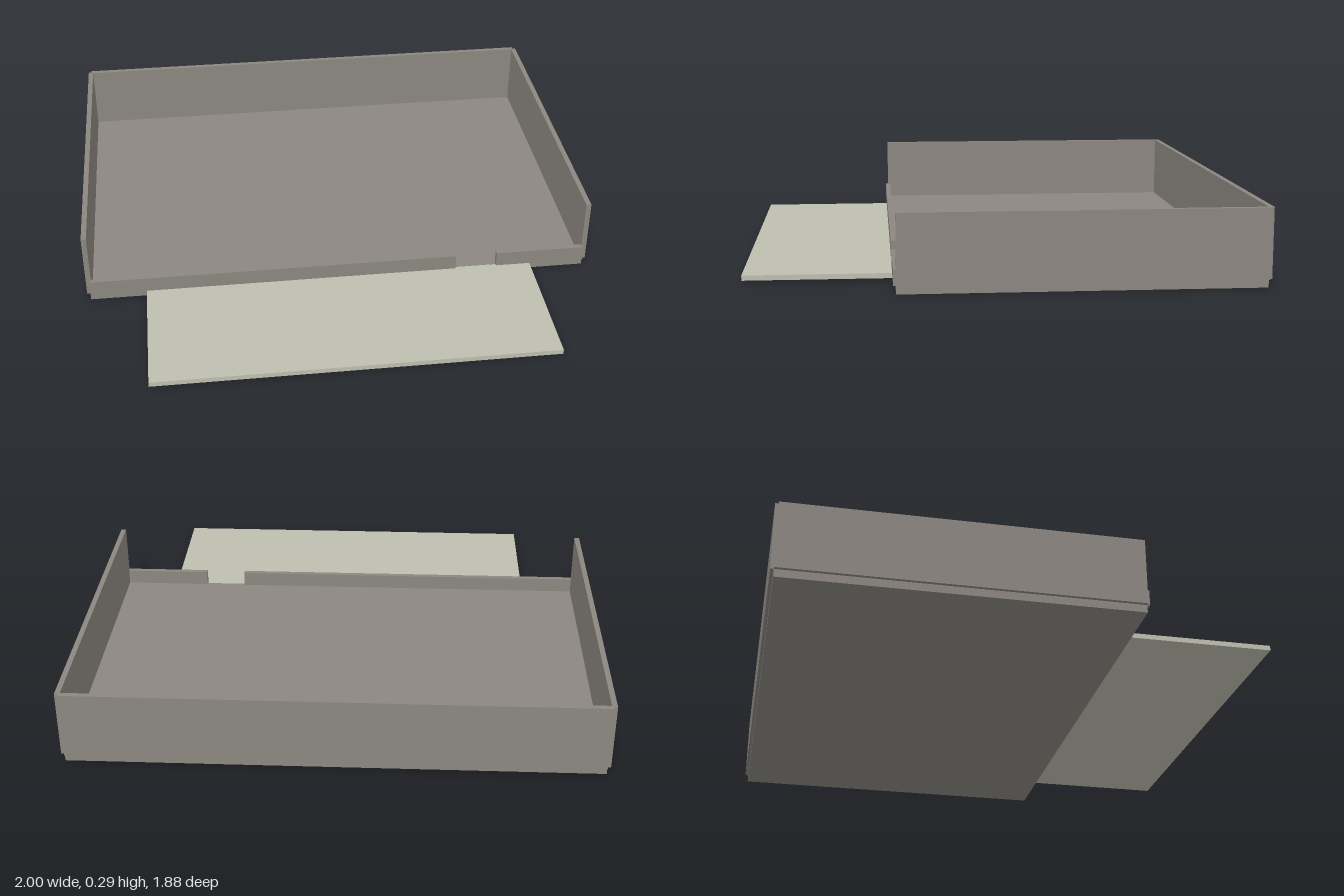
import * as THREE from 'three';

export function createModel() {
  const group = new THREE.Group();
  const concrete = new THREE.MeshStandardMaterial({ color: 0x8c8780 });
  concrete.name = 'warm grey';
  const paving = new THREE.MeshStandardMaterial({ color: 0xbebeb0 });
  paving.name = 'pale stone';

  // Box given by its minimum and maximum on each axis
  const slab = (name, material, [x0, x1], [y0, y1], [z0, z1]) => {
    const mesh = new THREE.Mesh(new THREE.BoxGeometry(x1 - x0, y1 - y0, z1 - z0), material);
    mesh.position.set((x0 + x1) / 2, (y0 + y1) / 2, (z0 + z1) / 2);
    mesh.name = name;
    group.add(mesh);
  };

  const wallY = [0.03, 0.29];
  const curbY = [0.03, 0.09];
  const curbZ = [0.38, 0.4];

  // Floor and the thin apron in front of it
  slab('floor', concrete, [-0.987, 0.987], [0, 0.03], [-0.928, 0.39]);
  slab('frontApron', paving, [-0.768, 0.768], [0.01, 0.029], [0.39, 0.94]);

  // Tall walls, overhanging the floor slightly
  slab('backWall', concrete, [-0.987, 0.987], wallY, [-0.94, -0.92]);
  slab('leftWall', concrete, [0.98, 1], wallY, [-0.928, 0.39]);
  slab('rightWall', concrete, [-1, -0.98], wallY, [-0.928, 0.39]);

  // Low front wall with an entrance gap
  slab('frontWallLong', concrete, [-0.987, 0.465], curbY, curbZ);
  slab('frontWallShort', concrete, [0.63, 0.987], curbY, curbZ);

  return group;
}
